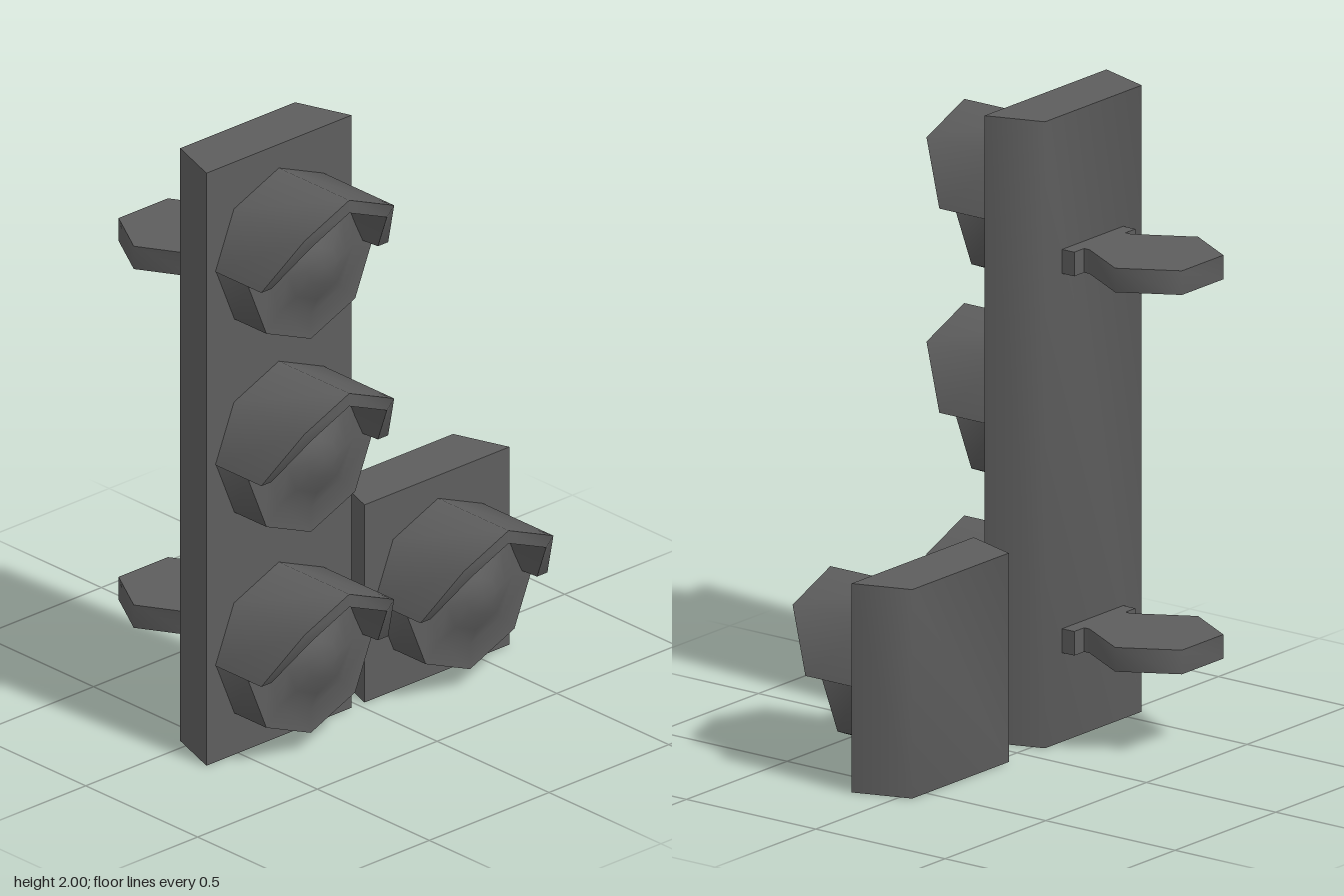
import * as THREE from 'three';
import { toCreasedNormals } from 'three/addons/utils/BufferGeometryUtils.js';

const material = new THREE.MeshStandardMaterial({ color: 0x5d5d5d });

function part(name, geometry, crease = 1.3) {
  const mesh = new THREE.Mesh(toCreasedNormals(geometry, crease), material);
  mesh.name = name;
  return mesh;
}

// Upright prism from a plan outline of [x, z] points, standing on y = 0
function prism(outline, height) {
  const shape = new THREE.Shape(outline.map(([x, z]) => new THREE.Vector2(x, -z)));
  const geometry = new THREE.ExtrudeGeometry(shape, { depth: height, bevelEnabled: false });
  return geometry.rotateX(-Math.PI / 2);
}

// Mirrors one half of a plan outline across x = 0
function symmetric(half) {
  return [...half, ...half.slice().reverse().map(([x, z]) => [-x, z])];
}

// Eight-sided barrel whose front closes in a shallow lens dome
function lensGeometry() {
  const profile = [[0.262, 0.147], [0.262, 0.29], [0.18, 0.29], [0.12, 0.317], [0.06, 0.342], [0, 0.352]];
  const points = profile.map(([r, z]) => new THREE.Vector2(r, z));
  return new THREE.LatheGeometry(points, 8).rotateX(Math.PI / 2);
}

// Half-octagon hood, narrowing inside, with its front cut back at both ends
function visorGeometry() {
  const outer = 0.265, innerFront = 0.222, innerBack = 0.205, back = 0.147;
  const fronts = [0.352, 0.462, 0.462, 0.462, 0.352];
  const positions = [], index = [];
  fronts.forEach((front, i) => {
    const a = (i * Math.PI) / 4;
    for (const [r, z] of [[outer, back], [outer, front], [innerFront, front], [innerBack, back]]) {
      positions.push(r * Math.cos(a), r * Math.sin(a), z);
    }
  });
  for (let i = 0; i < fronts.length - 1; i++) {
    for (let j = 0; j < 4; j++) {
      const a = i * 4 + j, b = i * 4 + ((j + 1) % 4);
      index.push(a, a + 4, b, b, a + 4, b + 4);
    }
  }
  // End caps
  const e = (fronts.length - 1) * 4;
  index.push(0, 1, 2, 0, 2, 3, e, e + 2, e + 1, e, e + 3, e + 2);
  const geometry = new THREE.BufferGeometry();
  geometry.setAttribute('position', new THREE.Float32BufferAttribute(positions, 3));
  geometry.setIndex(index);
  return geometry;
}

// Tapered housing with one hooded lamp per given height
function signal(name, x, height, lampX, lampHeights) {
  const group = new THREE.Group();
  group.name = name;
  group.position.x = x;
  const plan = symmetric([[0.303, 0.147], [0.24, -0.038]]);
  group.add(part('housing', prism(plan, height)));
  for (const y of lampHeights) {
    const lamp = new THREE.Group();
    lamp.name = 'lamp';
    lamp.position.set(lampX, y, 0);
    lamp.add(part('lens', lensGeometry()), part('visor', visorGeometry(), 0.9));
    group.add(lamp);
  }
  return group;
}

export function createModel() {
  const model = new THREE.Group();
  model.name = 'trafficLight';

  const main = signal('mainSignal', -0.33, 2, -0.001, [0.325, 1.003, 1.655]);
  const side = signal('sideSignal', 0.33, 0.667, 0.004, [0.325]);

  // Rear brackets: wall plate, neck and hexagonal pole clamp
  const bracket = symmetric([
    [0.152, -0.036], [0.152, -0.085], [0.103, -0.085],
    [0.103, -0.106], [0.206, -0.285], [0.103, -0.463],
  ]);
  for (const y of [0.284, 1.495]) {
    const mesh = part('rearBracket', prism(bracket, 0.077));
    mesh.position.set(0.003, y, 0);
    main.add(mesh);
  }

  model.add(main, side);
  return model;
}
